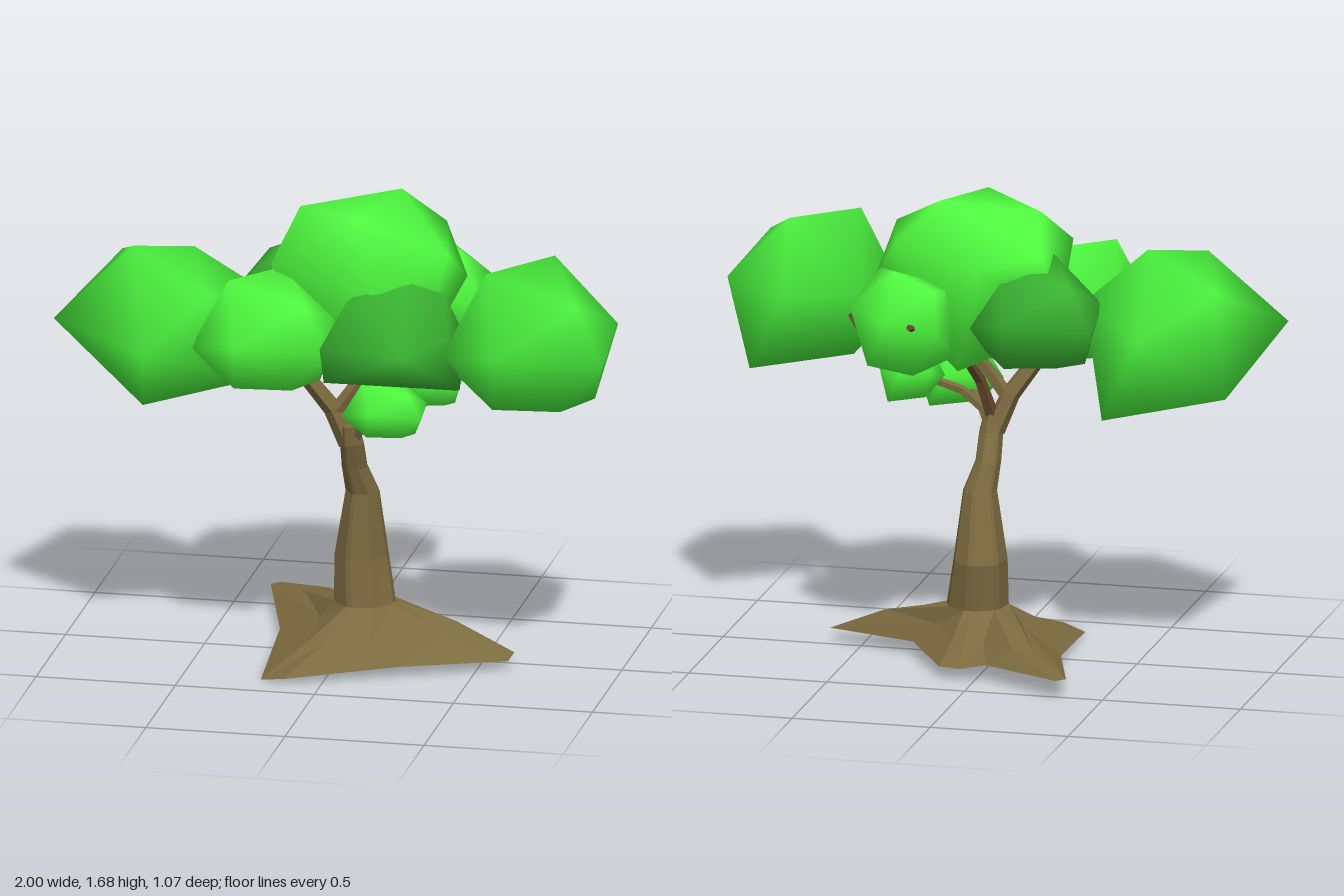
import * as THREE from 'three';
import { mergeVertices } from 'three/addons/utils/BufferGeometryUtils.js';
import { ConvexGeometry } from 'three/addons/geometries/ConvexGeometry.js';

const paint = (color, flatShading = false) => new THREE.MeshStandardMaterial({ color, flatShading });
const V = (p) => new THREE.Vector3(...p);

// Skin a stack of equal-length rings and close both ends with fans
function loft(rings) {
  const pos = [];
  const n = rings[0].length;
  const tri = (...pts) => pts.forEach((p) => pos.push(p.x, p.y, p.z));
  for (let r = 0; r < rings.length - 1; r++) {
    for (let i = 0; i < n; i++) {
      const j = (i + 1) % n, a = rings[r], b = rings[r + 1];
      tri(a[i], b[i], a[j]);
      tri(a[j], b[i], b[j]);
    }
  }
  const mid = (ring) => ring.reduce((s, p) => s.add(p), V([0, 0, 0])).divideScalar(n);
  const first = rings[0], last = rings[rings.length - 1];
  const lo = mid(first), hi = mid(last);
  for (let i = 0; i < n; i++) {
    const j = (i + 1) % n;
    tri(lo, first[i], first[j]);
    tri(hi, last[j], last[i]);
  }
  const geo = new THREE.BufferGeometry();
  geo.setAttribute('position', new THREE.Float32BufferAttribute(pos, 3));
  geo.computeVertexNormals();
  return geo;
}

// Tapered five-sided limb along a path
function limb(path, r0, r1) {
  const pts = path.map(V);
  return loft(pts.map((p, k) => {
    const d = pts[Math.min(k + 1, pts.length - 1)].clone().sub(pts[Math.max(k - 1, 0)]).normalize();
    const u = new THREE.Vector3(0, 0, 1).addScaledVector(d, -d.z).normalize();
    const v = u.clone().cross(d);
    const r = THREE.MathUtils.lerp(r0, r1, k / (pts.length - 1));
    return Array.from({ length: 5 }, (_, i) => {
      const a = (i / 5) * Math.PI * 2;
      return p.clone().addScaledVector(u, r * Math.cos(a)).addScaledVector(v, r * Math.sin(a));
    });
  }));
}

// Faceted hull with shared vertices, so the normals are smooth
function hull(points) {
  const geo = new ConvexGeometry(points);
  geo.deleteAttribute('normal');
  const merged = mergeVertices(geo, 1e-4);
  merged.computeVertexNormals();
  return merged;
}

// Leaf clump corners inside a unit box, pointed toward the front and back
const clumpCorners = [
  [0.39, 0.54, 1], [0.59, 0.54, 0], [0.27, 0.98, 0.62], [0.61, 1, 0.27],
  [0.83, 0, 0.17], [0.29, 0.02, 0.53], [1, 0.57, 0.29], [1, 0.43, 0.71],
  [0, 0.39, 0.65], [0.12, 0.57, 0.11], [0.83, 0.8, 0.64], [0.76, 0.13, 0.77]];

// Clump stretched to fill a box, optionally turned half way round
function clump(min, max, turned) {
  return hull(clumpCorners.map(([x, y, z]) => {
    const t = turned ? [1 - x, y, 1 - z] : [x, y, z];
    return V(t.map((f, i) => THREE.MathUtils.lerp(min[i], max[i], f)));
  }));
}

export function createModel() {
  const tree = new THREE.Group();
  tree.name = 'tree';
  const bark = paint(0x7c6b40, true), twig = paint(0x6a4a2c, true);
  const bright = paint(0x50ff40), mid = paint(0x48ea3c), dark = paint(0x3ab431);
  const add = (name, geo, mat) => {
    const mesh = new THREE.Mesh(geo, mat);
    mesh.name = name;
    tree.add(mesh);
  };

  // Trunk: root outline, root shoulders, then oval rings up the bent stem
  const rootOutline = [
    [0.62, 0.05, 0.03], [0.61, 0.035, 0.09], [0.25, 0.04, 0.25], [-0.13, 0.02, 0.41],
    [-0.22, 0.0, 0.37], [-0.25, 0.04, -0.1], [-0.37, 0.07, -0.51], [-0.34, 0.07, -0.54],
    [-0.04, 0.06, -0.36], [0.05, 0.045, -0.38], [0.13, 0.045, -0.36], [0.29, 0.05, -0.08]];
  const rootShoulders = [
    [0.41, 0.14, 0.0], [0.38, 0.12, 0.08], [0.13, 0.1, 0.17], [-0.02, 0.1, 0.2],
    [-0.08, 0.1, 0.18], [-0.09, 0.12, -0.02], [-0.21, 0.11, -0.33], [-0.14, 0.12, -0.36],
    [0, 0.11, -0.22], [0.06, 0.12, -0.25], [0.11, 0.11, -0.24], [0.2, 0.12, -0.08]];
  const angles = [-5, 12, 60, 103, 115, 165, 212, 224, 255, 270, 283, 325];
  // Each stem ring: centre x, y, z, then half widths in x and z
  const stem = [
    [0.07, 0.19, -0.03, 0.11, 0.105], [0.055, 0.36, -0.05, 0.095, 0.108],
    [0.065, 0.6, -0.015, 0.06, 0.062], [0.045, 0.7, 0.025, 0.045, 0.058],
    [0.045, 0.8, 0.07, 0.042, 0.05], [0.04, 0.87, 0.085, 0.03, 0.045]];
  const stemRings = stem.map(([x, y, z, rx, rz]) => angles.map((deg) => {
    const a = THREE.MathUtils.degToRad(deg);
    return new THREE.Vector3(x + rx * Math.cos(a), y, z + rz * Math.sin(a));
  }));
  add('trunk', loft([rootOutline.map(V), rootShoulders.map(V), ...stemRings]), bark);

  // Branches reaching into the leaf clumps
  const branches = [
    ['frontRightBranch', [[0.035, 0.8, 0.07], [-0.02, 0.93, 0.09], [-0.12, 1.07, 0.13], [-0.2, 1.2, 0.24]], 0.04, 0.025, bark],
    ['middleBranch', [[-0.02, 0.9, 0.09], [0.05, 1.0, 0.08], [0.12, 1.1, 0.06], [0.12, 1.3, 0.04]], 0.028, 0.02, bark],
    ['frontLowBranch', [[0.04, 0.8, 0.07], [0.08, 0.87, 0.1], [0.18, 0.95, 0.18]], 0.03, 0.018, bark],
    ['leftLowBranch', [[0.05, 0.85, 0.08], [0.15, 0.94, 0.06], [0.33, 1.02, -0.01]], 0.02, 0.015, bark],
    ['leftBranch', [[0.25, 1.12, 0.12], [0.38, 1.14, 0.09], [0.48, 1.16, -0.05], [0.6, 1.26, 0.1]], 0.024, 0.022, twig],
    ['backBranch', [[0.04, 0.84, 0.07], [0.07, 1.0, 0.0], [0.12, 1.16, -0.14], [0.22, 1.29, -0.425]], 0.026, 0.012, twig]];
  for (const [name, path, r0, r1, mat] of branches) add(name, limb(path, r0, r1), mat);

  // Clumps with their own outlines
  add('rightLeaves', hull([
    [-1, 1.23, 0.2], [-0.87, 1.04, -0.2], [-0.57, 1.25, -0.27], [-0.62, 1.2, 0.48],
    [-0.73, 1.49, 0.12], [-0.52, 1.49, 0.08], [-0.41, 0.92, -0.15], [-0.68, 0.93, 0.2],
    [-0.33, 1.08, 0.25], [-0.32, 1.32, -0.04], [-0.82, 1.4, -0.12], [-0.42, 1.38, 0.3]].map(V)), mid);
  add('topLeaves', hull([
    [-0.16, 1.63, -0.02], [0.18, 1.68, -0.14], [0.08, 1.655, 0.17], [0.4, 1.53, 0.12],
    [-0.22, 1.48, 0.2], [0, 1.48, -0.31], [0.16, 1.4, 0.29], [0.42, 1.38, -0.12],
    [-0.26, 1.33, -0.12], [-0.05, 1.1, 0.1], [0.28, 1.1, 0.1], [0.1, 1.08, -0.2],
    [0.32, 1.54, -0.24], [-0.2, 1.5, -0.18]].map(V)), bright);
  add('frontLeftLeaves', hull([
    [0, 1.245, 0.41], [0, 1.1, 0.34], [0.31, 1.25, 0.48], [0.48, 1.09, 0.3],
    [0.08, 1.4, 0.33], [0.25, 1.45, 0.2], [0.4, 1.4, 0.17], [0.44, 1.28, 0.3],
    [0.02, 1.2, 0.05], [0.2, 1.1, 0.05], [0.44, 1.2, 0.02], [0.12, 1.39, 0.05]].map(V)), dark);
  add('backLeftLeaves', hull([
    [0.31, 1.3, -0.44], [0.13, 1.26, -0.39], [0.15, 1.4, -0.33], [0.3, 1.46, -0.31],
    [0.38, 1.44, -0.2], [0.46, 1.33, -0.33], [0.47, 1.25, -0.15], [0.4, 1.11, -0.31],
    [0.22, 1.1, -0.37], [0.12, 1.12, -0.15], [0.1, 1.36, -0.13], [0.3, 1.12, -0.12]].map(V)), bright);

  // Remaining clumps share one shape: lower corner, upper corner, turned
  const clumps = [
    ['leftLeaves', [0.41, 0.99, -0.13], [1, 1.53, 0.53], false, mid],
    ['frontRightLeaves', [-0.48, 1.03, 0.0], [0.02, 1.46, 0.53], false, bright],
    ['backRightLeaves', [-0.39, 1.08, -0.37], [0.08, 1.49, 0.08], true, dark],
    ['frontLowLeaves', [0.04, 0.86, 0.07], [0.33, 1.08, 0.32], false, bright],
    ['leftLowLeaves', [0.2, 0.92, -0.12], [0.42, 1.13, 0.09], false, bright]];
  for (const [name, min, max, turned, mat] of clumps) add(name, clump(min, max, turned), mat);
  return tree;
}
